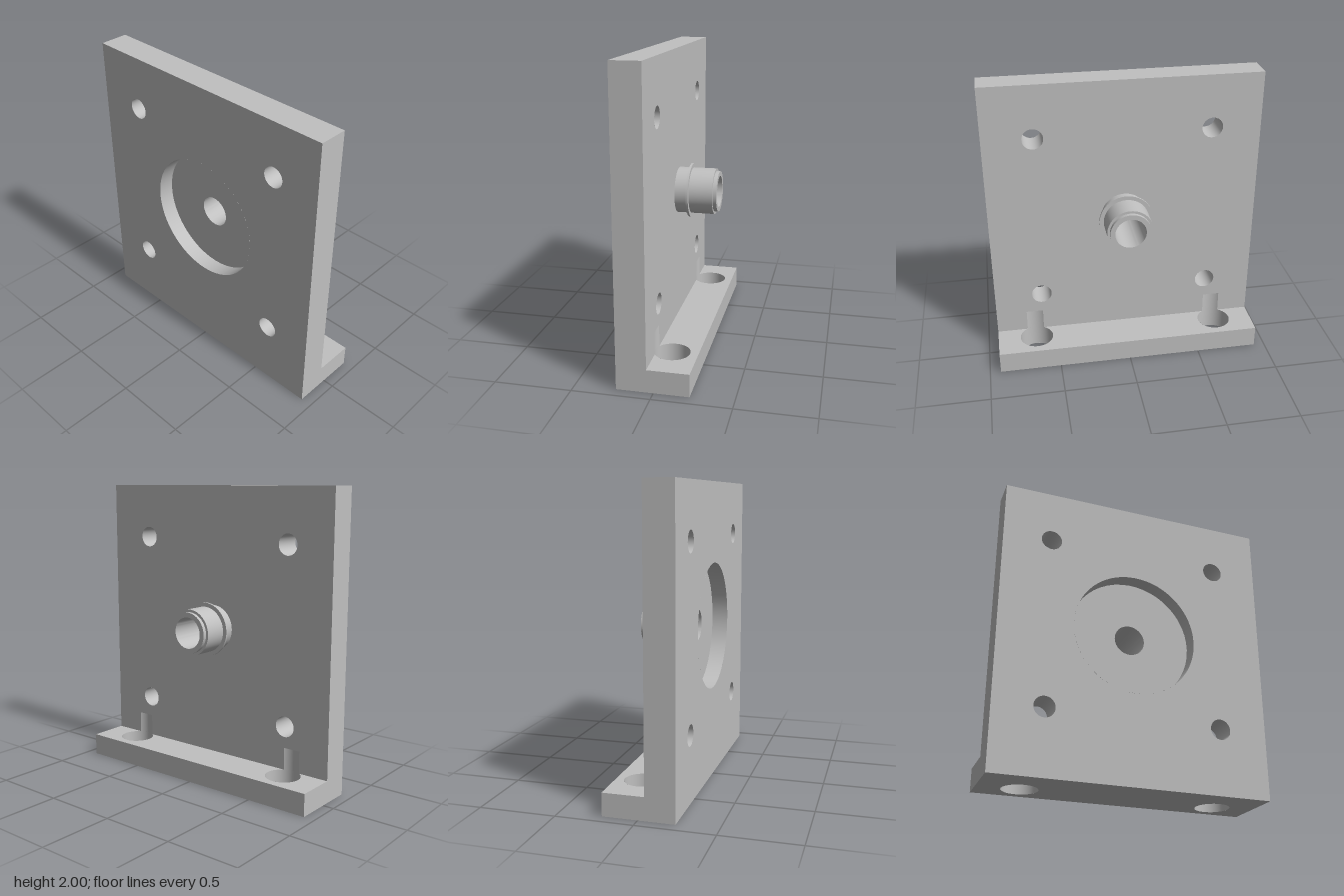
import * as THREE from 'three';
import { toCreasedNormals } from 'three/addons/utils/BufferGeometryUtils.js';

const W = 0.925, H = 2;                          // half width, height
const FRONT = 0.236, BACK = 0.043, FOOT = -0.226; // z of plate faces and foot edge
const FOOT_H = 0.15, SLOT_TOP = 0.3;
const CY = 1.04, POCKET_R = 0.425, POCKET_Z = 0.126, BORE_R = 0.105, BOSS_R = 0.155;
const SCREW_R = 0.07, SCREWS = [-0.595, 0.595].flatMap(x => [0.445, 1.635].map(y => [x, y]));
const FOOT_R = 0.116, FOOT_X = [-0.653, 0.653], FOOT_Z = -0.057;

// where the foot holes cut into the plate
const beta = Math.acos(Math.sqrt(FOOT_R ** 2 - (BACK - FOOT_Z) ** 2) / FOOT_R);
const chord = FOOT_R * Math.cos(beta);

const poly = (...p) => new THREE.Shape(p.map(([x, y]) => new THREE.Vector2(x, y)));
const rect = (x0, y0, x1, y1) => poly([x0, y0], [x1, y0], [x1, y1], [x0, y1]);
const drill = (shape, x, y, r) => {
  shape.holes.push(new THREE.Path().absarc(x, y, r, 0, Math.PI * 2, true));
  return shape;
};

export function createModel() {
  const group = new THREE.Group();
  const steel = new THREE.MeshStandardMaterial({ color: 0xc0c0c0, side: THREE.DoubleSide });
  steel.name = 'grey metal';

  const add = (name, geometry, x = 0, y = 0, z = 0) => {
    const mesh = new THREE.Mesh(geometry, steel);
    mesh.name = name;
    mesh.position.set(x, y, z);
    group.add(mesh);
  };
  const flat = shape => new THREE.ShapeGeometry(shape, 32);
  const up = shape => flat(shape).rotateX(-Math.PI / 2);   // shape y becomes -z
  const down = shape => flat(shape).rotateX(Math.PI / 2);  // shape y becomes +z
  const tube = (r, len, start = 0, sweep = Math.PI * 2) =>
    new THREE.CylinderGeometry(r, r, len, 48, 1, true, start, sweep);

  // plate front with pocket opening
  const front = drill(rect(-W, 0, W, H), 0, CY, POCKET_R);
  SCREWS.forEach(([x, y]) => drill(front, x, y, SCREW_R));
  add('plateFront', flat(front), 0, 0, FRONT);

  // plate back, notched above the foot holes
  const back = poly([-W, FOOT_H],
    ...FOOT_X.flatMap(x => [[x - chord, FOOT_H], [x - chord, SLOT_TOP], [x + chord, SLOT_TOP], [x + chord, FOOT_H]]),
    [W, FOOT_H], [W, H], [-W, H]);
  drill(back, 0, CY, BOSS_R);
  SCREWS.forEach(([x, y]) => drill(back, x, y, SCREW_R));
  add('plateBack', flat(back).rotateY(Math.PI), 0, 0, BACK);

  // L-shaped ends, top and foot edge
  const profile = poly([-FRONT, 0], [-FOOT, 0], [-FOOT, FOOT_H], [-BACK, FOOT_H], [-BACK, H], [-FRONT, H]);
  for (const s of [-1, 1]) add(s > 0 ? 'leftEnd' : 'rightEnd', flat(profile).rotateY(Math.PI / 2), s * W);
  add('plateTop', up(rect(-W, -FRONT, W, -BACK)), 0, H);
  add('footEdge', flat(rect(-W, 0, W, FOOT_H)).rotateY(Math.PI), 0, 0, FOOT);

  // underside and foot top
  const under = rect(-W, FOOT, W, FRONT);
  FOOT_X.forEach(x => drill(under, x, FOOT_Z, FOOT_R));
  add('underside', down(under));
  const ledge = new THREE.Shape().moveTo(-W, -BACK);
  for (const x of FOOT_X) {
    ledge.lineTo(x - chord, -BACK);
    ledge.absarc(x, -FOOT_Z, FOOT_R, Math.PI + beta, -beta, true);
  }
  ledge.lineTo(W, -BACK).lineTo(W, -FOOT).lineTo(-W, -FOOT);
  add('footTop', up(ledge), 0, FOOT_H);

  // foot holes and the scallops they leave in the plate
  const half = Math.PI / 2 - beta;
  for (const x of FOOT_X) {
    add('footHole', tube(FOOT_R, FOOT_H), x, FOOT_H / 2, FOOT_Z);
    add('scallop', tube(FOOT_R, SLOT_TOP - FOOT_H, -half, 2 * half), x, (SLOT_TOP + FOOT_H) / 2, FOOT_Z);
    const cap = new THREE.Shape().absarc(0, 0, FOOT_R, beta, Math.PI - beta, false);
    add('scallopCeiling', down(cap), x, SLOT_TOP, FOOT_Z);
  }

  // screw holes and pocket
  for (const [x, y] of SCREWS)
    add('screwHole', tube(SCREW_R, FRONT - BACK).rotateX(Math.PI / 2), x, y, (FRONT + BACK) / 2);
  add('pocketWall', tube(POCKET_R, FRONT - POCKET_Z).rotateX(Math.PI / 2), 0, CY, (FRONT + POCKET_Z) / 2);
  add('pocketFloor', new THREE.RingGeometry(BORE_R, POCKET_R, 64), 0, CY, POCKET_Z);

  // hollow boss with collar and stepped tip
  const points = [
    [BOSS_R, -BACK], [BOSS_R, 0.039], [0.183, 0.039], [0.183, 0.053], [BOSS_R, 0.053],
    [BOSS_R, 0.211], [0.138, 0.211], [0.138, 0.236], [BORE_R, 0.236], [BORE_R, -POCKET_Z],
  ].map(([r, h]) => new THREE.Vector2(r, h));
  const boss = new THREE.LatheGeometry(points, 64).rotateX(-Math.PI / 2);
  add('boss', toCreasedNormals(boss, 0.6), 0, CY);

  return group;
}
